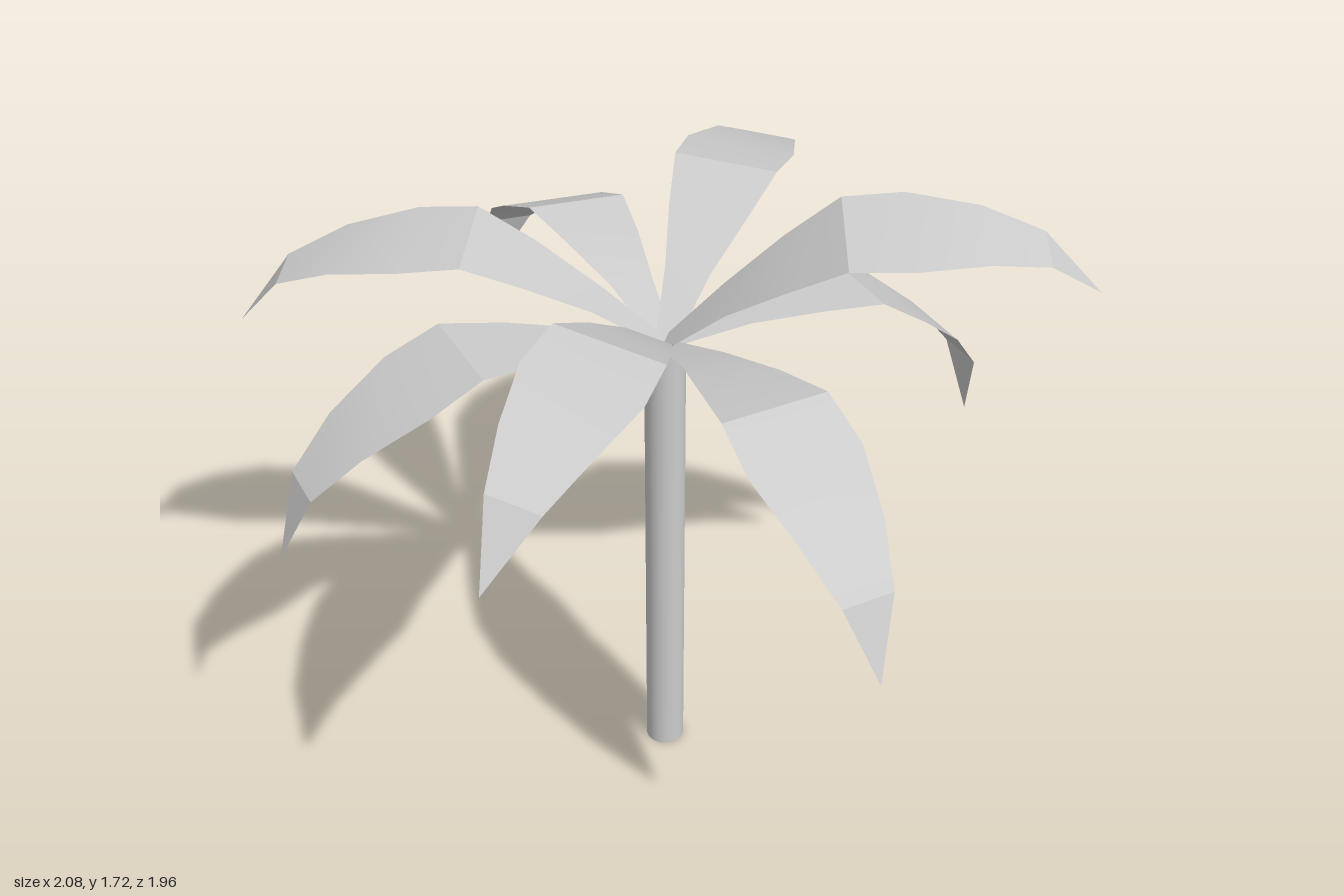
import * as THREE from 'three';
import { toCreasedNormals } from 'three/addons/utils/BufferGeometryUtils.js';

const DEG = Math.PI / 180;

// Frond cross-sections from base to tip: [distance outward, height, half width]
const SECTIONS = [
  [0, 0.01, 0.025], [0.2, 0.08, 0.06], [0.38, 0.122, 0.105], [0.54, 0.147, 0.138],
  [0.68, 0.088, 0.147], [0.84, 0, 0.11], [0.96, -0.105, 0.067], [1.035, -0.295, 0],
];

// One arching frond pointing along +x
function frondGeometry() {
  const positions = [], index = [];
  for (const [s, y, w] of SECTIONS) positions.push(s, y, -w, s, y, w);
  for (let i = 0; i < SECTIONS.length - 1; i++) {
    const a = i * 2;
    index.push(a, a + 1, a + 2);
    if (i < SECTIONS.length - 2) index.push(a + 1, a + 3, a + 2); // the tip is one triangle
  }
  const geometry = new THREE.BufferGeometry();
  geometry.setAttribute('position', new THREE.Float32BufferAttribute(positions, 3));
  geometry.setIndex(index);
  return toCreasedNormals(geometry, 0.45);
}

// Fronds around the crown, in degrees: [heading from +x towards +z, upward tilt, roll]
const FRONDS = [
  [-18, -11, 0], [14.5, 25, 12], [72, 0, 0], [117.5, 17.5, -10],
  [162, 0, 0], [193.5, 17, -4], [252, 0, 6], [297.5, 14, 3],
];

export function createModel() {
  const model = new THREE.Group();
  model.name = 'palmTree';
  const material = new THREE.MeshStandardMaterial({ color: 0xcccccc });
  const leafMaterial = new THREE.MeshStandardMaterial({ color: 0xcccccc, side: THREE.DoubleSide });

  // Straight trunk
  const height = 1.335;
  const trunk = new THREE.Mesh(new THREE.CylinderGeometry(0.053, 0.053, height, 24), material);
  trunk.name = 'trunk';
  trunk.position.set(-0.01, height / 2, -0.027);
  model.add(trunk);

  // Crown of drooping and raised fronds
  const crown = new THREE.Group();
  crown.name = 'crown';
  crown.position.set(-0.01, 1.33, -0.03);
  const geometry = frondGeometry();
  FRONDS.forEach(([heading, tilt, roll], i) => {
    const frond = new THREE.Mesh(geometry, leafMaterial);
    frond.name = `frond${i + 1}`;
    frond.rotation.set(roll * DEG, -heading * DEG, tilt * DEG, 'YZX');
    crown.add(frond);
  });
  model.add(crown);
  return model;
}
